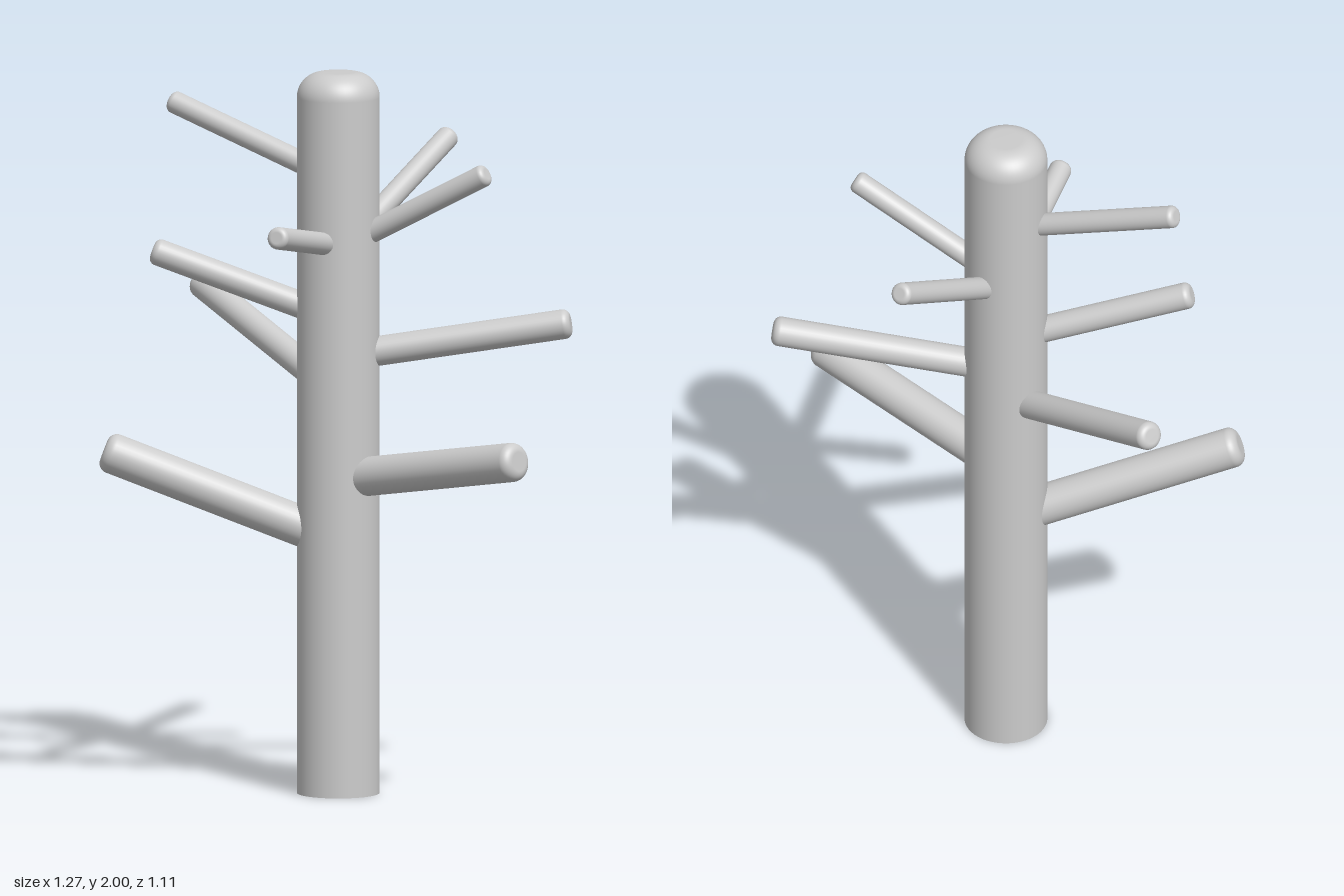
import * as THREE from 'three';

const material = new THREE.MeshStandardMaterial({ color: 0xcccccc, side: THREE.DoubleSide });

// Upright round post, open at the bottom, with a filleted top edge.
function roundedPost(radius, height, fillet, segments) {
  const profile = new THREE.Path();
  profile.moveTo(radius, 0);
  profile.lineTo(radius, height - fillet);
  profile.absarc(radius - fillet, height - fillet, fillet, 0, Math.PI / 2, false);
  profile.lineTo(0, height);
  return new THREE.LatheGeometry(profile.getPoints(8), segments);
}

export function createModel() {
  const model = new THREE.Group();
  const axis = new THREE.Vector3(0.004, 0, 0.02);

  const trunk = new THREE.Mesh(roundedPost(0.114, 2, 0.07, 48), material);
  trunk.name = 'trunk';
  trunk.position.copy(axis);
  model.add(trunk);

  // Each branch: height on the trunk axis, tip position, radius
  const branches = [
    [0.70, [-0.625, 0.947, -0.12], 0.056],
    [0.87, [0.417, 0.98, 0.53], 0.054],
    [1.21, [0.622, 1.312, 0.195], 0.041],
    [1.107, [-0.283, 1.348, -0.545], 0.040],
    [1.315, [-0.487, 1.497, -0.13], 0.037],
    [1.518, [-0.235, 1.597, 0.387], 0.031],
    [1.51, [0.376, 1.742, 0.262], 0.031],
    [1.493, [0.376, 1.772, -0.308], 0.031],
    [1.70, [-0.41, 1.89, -0.28], 0.031],
  ];

  const up = new THREE.Vector3(0, 1, 0);
  branches.forEach(([height, tip, radius], i) => {
    const start = axis.clone().setY(height);
    const direction = new THREE.Vector3(...tip).sub(start);
    const branch = new THREE.Mesh(roundedPost(radius, direction.length(), radius * 0.5, 32), material);
    branch.name = `branch${i + 1}`;
    branch.position.copy(start);
    branch.quaternion.setFromUnitVectors(up, direction.normalize());
    model.add(branch);
  });

  return model;
}
